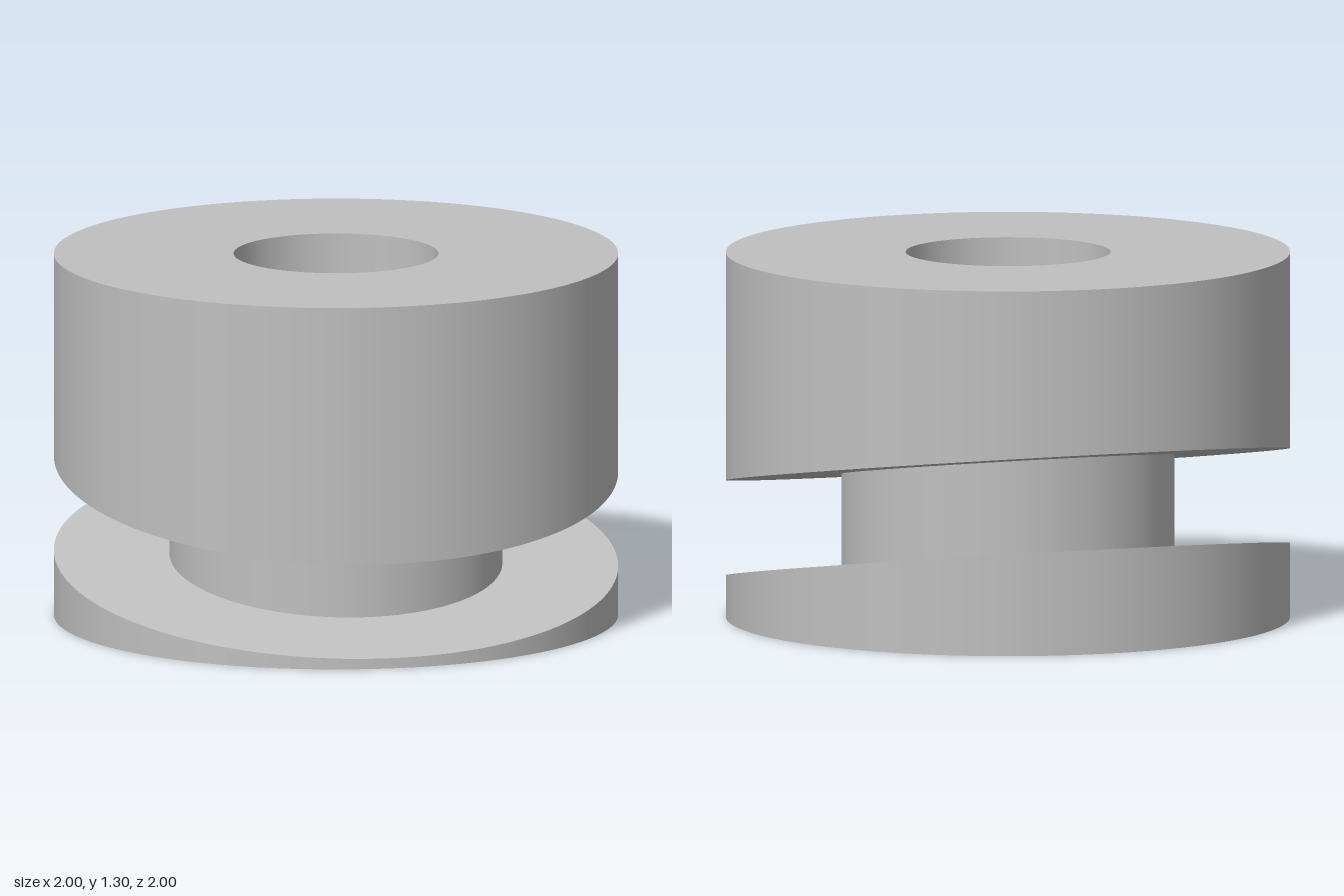
import * as THREE from 'three';
import { mergeGeometries } from 'three/addons/utils/BufferGeometryUtils.js';

const SIDES = 128;
const BORE = 0.363, CORE = 0.59, OUTER = 1, HEIGHT = 1.305;

// Height rules: flat ends, and the two parallel tilted faces of the groove
const SLOPE = 0.119;
const flat = (y) => () => y;
const tilted = (y) => (x, z) => y + SLOPE * (x - z);
const bottom = flat(0), top = flat(HEIGHT);
const grooveLow = tilted(0.205), grooveHigh = tilted(0.545);

// Turn a geometry inside out
function flip(geometry) {
  geometry.index.array.reverse();
  const n = geometry.attributes.normal;
  for (let i = 0; i < n.array.length; i++) n.array[i] *= -1;
  return geometry;
}

// Cylindrical wall stretched between two height rules
function wall(radius, low, high, inward = false) {
  const g = new THREE.CylinderGeometry(radius, radius, 1, SIDES, 1, true);
  const p = g.attributes.position;
  for (let i = 0; i < p.count; i++) {
    const rule = p.getY(i) > 0 ? high : low;
    p.setY(i, rule(p.getX(i), p.getZ(i)));
  }
  return inward ? flip(g) : g;
}

// Annular face laid on a height rule
function face(inner, outer, rule, down = false) {
  const g = new THREE.RingGeometry(inner, outer, SIDES, 1).rotateX(-Math.PI / 2);
  const p = g.attributes.position;
  for (let i = 0; i < p.count; i++) p.setY(i, rule(p.getX(i), p.getZ(i)));
  g.computeVertexNormals();
  return down ? flip(g) : g;
}

export function createModel() {
  const group = new THREE.Group();
  group.name = 'groovedCollar';
  const grey = new THREE.MeshStandardMaterial({ color: 0xc0c0c0 });
  grey.name = 'grey';

  const add = (name, pieces) => {
    const mesh = new THREE.Mesh(mergeGeometries(pieces), grey);
    mesh.name = name;
    group.add(mesh);
  };

  // Wedge-shaped disc below the groove
  add('lowerFlange', [
    wall(OUTER, bottom, grooveLow),
    face(BORE, OUTER, bottom, true),
    face(CORE, OUTER, grooveLow),
  ]);
  // Narrow neck at the bottom of the groove
  add('core', [wall(CORE, grooveLow, grooveHigh)]);
  // Tall body above the groove
  add('upperBody', [
    wall(OUTER, grooveHigh, top),
    face(CORE, OUTER, grooveHigh, true),
    face(BORE, OUTER, top),
  ]);
  // Straight hole through the middle
  add('bore', [wall(BORE, bottom, top, true)]);

  return group;
}
